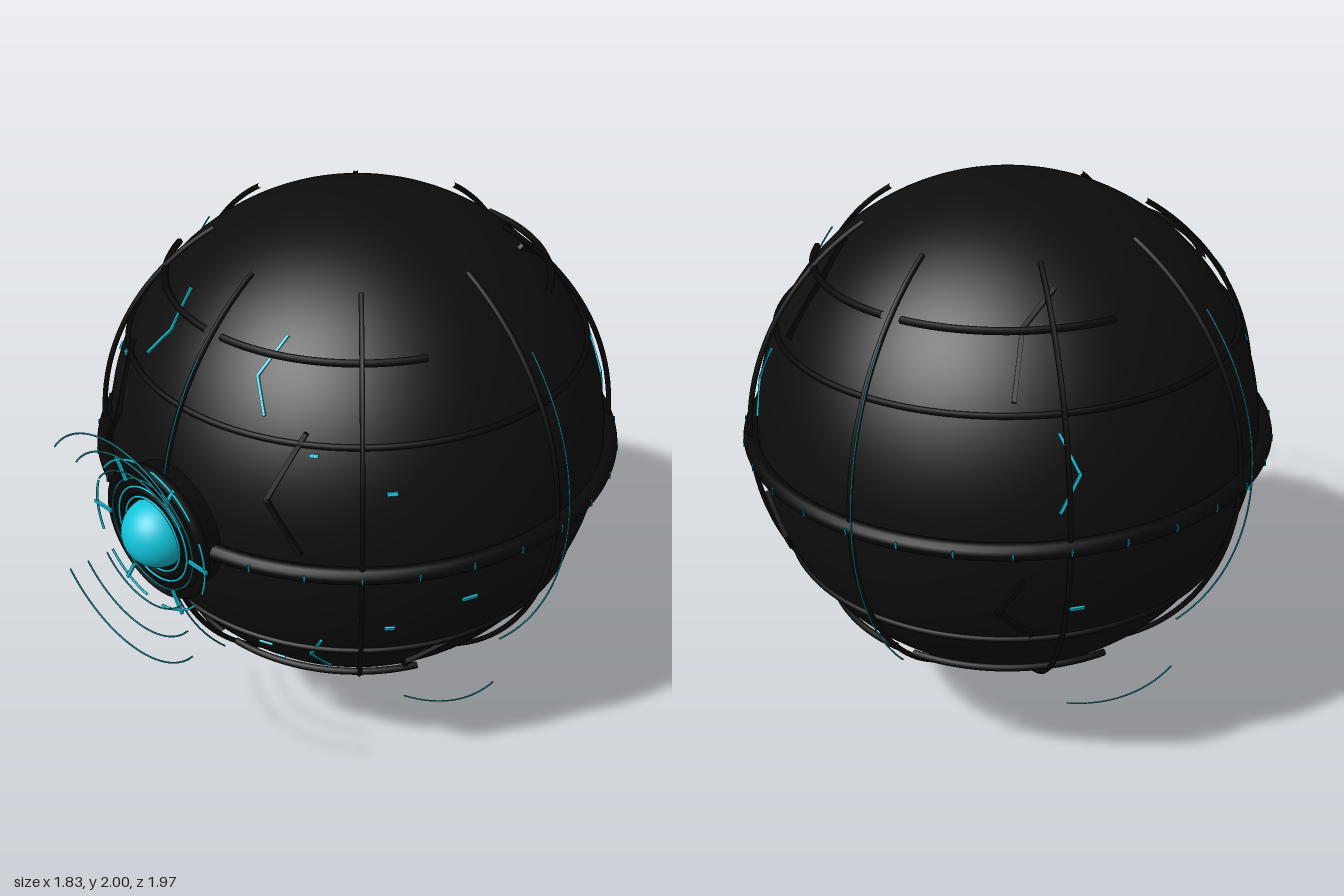
import * as THREE from 'three';

const mat = (name, color) => {
  const m = new THREE.MeshStandardMaterial({ color });
  m.name = name;
  return m;
};
const RAD = Math.PI / 180;
const R = 0.86;

export function createModel() {
  const shell = mat('black shell', 0x0d0d0e);
  const trim = mat('dark trim', 0x070708);
  const glow = mat('cyan glow', 0x12c4da);
  const dim = mat('dim cyan', 0x0e8896);

  const model = new THREE.Group();
  model.name = 'orbDrone';
  const body = new THREE.Group();
  body.name = 'body';
  body.position.set(0, 1.14, -0.06);
  model.add(body);

  const add = (name, geo, material, parent = body) => {
    const m = new THREE.Mesh(geo, material);
    m.name = name;
    parent.add(m);
    return m;
  };
  // arc in the xy plane, angles in degrees
  const arc = (r, tube, from, to, segs = 48) =>
    new THREE.TorusGeometry(r, tube, 6, segs, (to - from) * RAD).rotateZ(from * RAD);

  // direction to a point on the ball; side is the sign of the missing z
  const onFront = (x, y, side = 1) =>
    new THREE.Vector3(x, y, side * Math.sqrt(Math.max(0, R * R - x * x - y * y)));
  const onRight = (z, y) => new THREE.Vector3(Math.sqrt(R * R - z * z - y * y), y, z);
  const mirror = (p, s) => new THREE.Vector3(p.x * s, p.y, p.z);

  // straight bar lying on the ball between two points
  const bar = (name, a, b, width, depth, material) => {
    const r = R + depth * 0.3;
    const p = a.clone().setLength(r), q = b.clone().setLength(r);
    const mid = p.clone().add(q).multiplyScalar(0.5);
    const x = q.clone().sub(p);
    const len = x.length() + width * 0.6;
    x.normalize();
    const n = mid.clone().normalize();
    const y = n.clone().cross(x).normalize();
    const g = new THREE.BoxGeometry(len, width, depth);
    g.applyMatrix4(new THREE.Matrix4().makeBasis(x, y, x.clone().cross(y)).setPosition(mid));
    add(name, g, material);
  };
  const chevron = (name, pts, width, depth, material) => {
    for (const s of [1, -1])
      for (let i = 0; i < pts.length - 1; i++)
        bar(name, mirror(pts[i], s), mirror(pts[i + 1], s), width, depth, material);
  };

  // ball
  add('shell', new THREE.SphereGeometry(R, 96, 64), shell);

  // equator band with glowing ticks
  add('equatorBand', new THREE.TorusGeometry(0.88, 0.028, 12, 128).rotateX(Math.PI / 2), trim);
  for (let i = 0; i < 32; i++) {
    const g = new THREE.BoxGeometry(0.006, 0.025, 0.008).translate(0, 0, 0.906);
    add('equatorTick', g.rotateY(i * 11.25 * RAD), dim);
  }

  // latitude ribs: full rings and quarter arcs, above and below
  for (const s of [1, -1]) {
    add('latitudeRing', new THREE.TorusGeometry(0.77, 0.01, 6, 112).rotateX(Math.PI / 2), trim)
      .position.y = s * 0.395;
    for (const start of [27, 93, 207, 273]) {
      add('latitudeArc', arc(0.635, 0.012, start, start + 60, 28).rotateX(Math.PI / 2), trim)
        .position.y = s * 0.605;
    }
  }

  // meridian ribs and glowing meridian lines
  for (let i = 0; i < 8; i++)
    add('meridianRib', arc(0.884, 0.009, -62, 58), trim).rotation.y = i * Math.PI / 4;
  for (let i = 0; i < 4; i++)
    add('meridianLight', arc(0.912, 0.003, -42, 38), dim).rotation.y = i * Math.PI / 2 + 0.028;

  // glowing chevrons
  chevron('glowChevron', [onFront(0.22, 0.64), onFront(0.2, 0.54), onFront(0.27, 0.45)], 0.009, 0.009, glow);
  chevron('glowChevron', [onFront(0.46, -0.34), onFront(0.39, -0.45), onFront(0.385, -0.56)], 0.009, 0.009, glow);
  chevron('glowChevron', [onRight(-0.57, 0.34), onRight(-0.56, 0.22), onRight(-0.62, 0.11)], 0.009, 0.009, glow);

  // dark panel chevrons
  chevron('panelChevron', [onFront(0.4, 0.42), onFront(0.35, 0.22), onFront(0.46, 0.06)], 0.014, 0.022, trim);
  chevron('panelChevron', [onFront(0.42, 0.43, -1), onFront(0.37, 0.6, -1), onFront(0.39, 0.68, -1)], 0.014, 0.022, trim);
  chevron('panelChevron', [onFront(0.5, -0.12, -1), onFront(0.42, -0.25, -1), onFront(0.48, -0.36, -1)], 0.014, 0.022, trim);
  chevron('panelChevron', [onRight(0.3, -0.4), onRight(0.36, -0.52), onRight(0.3, -0.62)], 0.014, 0.022, trim);

  // small glowing dashes
  const dash = (p, len) => {
    const t = new THREE.Vector3(p.z, 0, -p.x).setLength(len / 2);
    bar('glowDash', p.clone().sub(t), p.clone().add(t), 0.012, 0.009, glow);
  };
  for (const s of [1, -1]) {
    dash(onFront(s * 0.64, 0.26), 0.026);
    dash(onFront(s * 0.64, -0.26), 0.026);
    dash(onFront(s * 0.44, 0.365), 0.02);
    dash(onFront(s * 0.255, -0.44), 0.04);
    dash(mirror(onRight(0.3, -0.175), s), 0.045);
    dash(mirror(onRight(-0.55, -0.26), s), 0.04);
  }
  dash(onFront(0.22, -0.58), 0.025);

  // front eye: collar, lens orb and rings
  const eye = new THREE.Group();
  eye.name = 'eye';
  eye.position.set(0, 1.14, 0);
  model.add(eye);
  const ring = (name, r, tube, z, material, from = 0, to = 360) => {
    add(name, arc(r, tube, from, to, 64), material, eye).position.z = z;
  };
  add('eyeCollar', new THREE.CylinderGeometry(0.215, 0.215, 0.1, 64).rotateX(Math.PI / 2), trim, eye)
    .position.z = 0.81;
  ring('eyeRim', 0.22, 0.02, 0.85, trim);
  ring('eyeInnerRim', 0.15, 0.012, 0.862, trim);
  add('lens', new THREE.SphereGeometry(0.116, 48, 32), glow, eye).position.z = 0.85;
  ring('lensRing', 0.13, 0.004, 0.872, glow);
  ring('lensRing', 0.165, 0.004, 0.872, glow);
  ring('lensRing', 0.195, 0.003, 0.874, dim);

  // six spokes, each with a short arc on its outer end
  for (let i = 0; i < 6; i++) {
    const g = new THREE.BoxGeometry(0.085, 0.011, 0.008).translate(0.233, 0, 0.884);
    add('spoke', g.rotateZ(i * 60 * RAD), glow, eye);
    ring('spokeArc', 0.263, 0.004, 0.884, glow, i * 60 - 22, i * 60 + 22);
  }

  // floating arcs above and below the lens
  for (const [r, z] of [[0.24, 0.92], [0.32, 0.955], [0.395, 0.989]])
    for (const a of [38, 218]) ring('floatingArc', r, 0.003, z, dim, a, a + 104);

  // hanging arcs under the ball
  for (const a of [-71, -149])
    add('lowerArc', arc(0.794, 0.003, a, a + 40), dim, model).position.set(0, 0.755, -0.06);

  return model;
}
